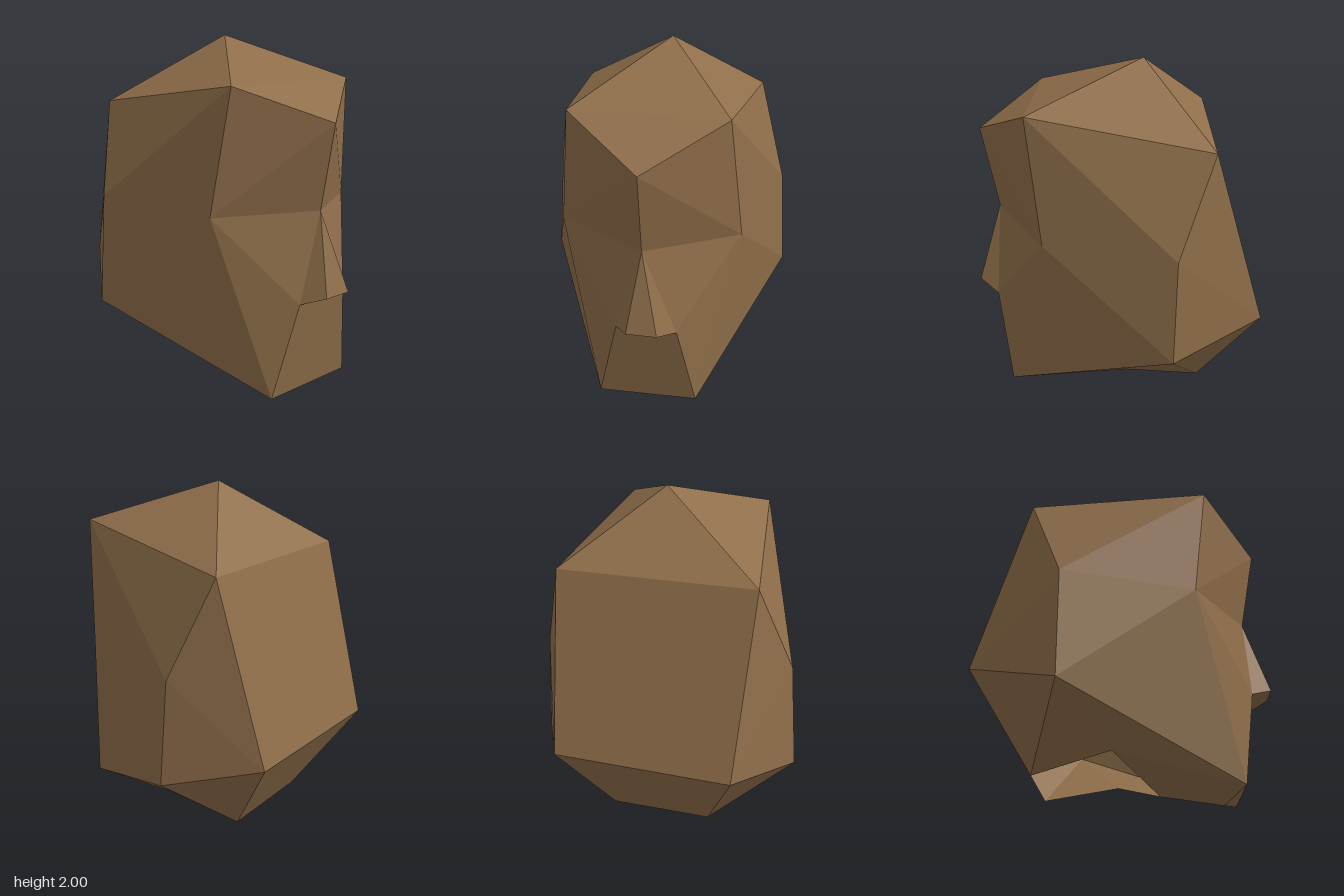
import * as THREE from 'three';

// Landmarks of the head. Paired points end in R (+x) or L (-x).
const points = {
  crown: [0.04, 2, -0.15],
  brow: [0.01, 1.58, 0.79],
  bridge: [0.01, 1.1, 0.7],
  chin: [0, 0, 0.53],
  throat: [-0.01, 0.05, 0.18],
};

function pair(name, right, left = [-right[0], right[1], right[2]]) {
  points[name + 'R'] = right;
  points[name + 'L'] = left;
}

pair('forehead', [0.43, 1.77, 0.47], [-0.42, 1.77, 0.47]);
pair('nape', [0.545, 1.62, -0.53], [-0.535, 1.62, -0.53]);
pair('temple', [0.71, 1.08, -0.34], [-0.71, 1.1, -0.34]);
pair('eye', [0.51, 1.07, 0.39], [-0.5, 1.08, 0.39]);
pair('noseTip', [0.11, 0.65, 0.83], [-0.06, 0.65, 0.83]);
pair('nostril', [0.2, 0.6, 0.71], [-0.14, 0.6, 0.71]);
pair('jaw', [0.755, 0.49, -0.33], [-0.76, 0.47, -0.33]);
pair('back', [0.51, 0.64, -0.825], [-0.48, 0.63, -0.83]);
pair('chinSide', [0.305, 0.06, 0.63], [-0.265, 0.05, 0.63]);
pair('neckSide', [0.4, 0.2, -0.07]);
pair('neckBack', [0.29, 0.1, -0.5]);

// A * marks a paired point, built once for each side.
const parts = {
  skull: [
    'crown forehead* nape*', 'forehead* nape* temple*', 'forehead* temple* eye*',
    'nape* temple* back*', 'temple* back* jaw*', 'temple* jaw* eye*',
    'crown foreheadR foreheadL', 'crown napeR napeL', 'napeR napeL backL backR',
  ],
  face: [
    'foreheadR foreheadL brow', 'forehead* eye* brow', 'brow eye* bridge',
    'eye* bridge nostril*', 'eye* nostril* chinSide*', 'eye* jaw* chinSide*',
    'nostrilR nostrilL chinSideL chinSideR',
  ],
  nose: [
    'bridge noseTipR noseTipL', 'bridge noseTip* nostril*',
    'noseTipR noseTipL nostrilL nostrilR',
  ],
  // The base leaves the neck open.
  base: [
    'chinSideR chinSideL chin', 'chinSide* chin throat', 'chinSide* throat neckSide*',
    'jaw* chinSide* neckSide*', 'jaw* neckSide* neckBack*', 'jaw* neckBack* back*',
    'backR backL neckBackL neckBackR',
  ],
};

const centre = new THREE.Vector3(0, 0.9, 0);

// Adds one triangle, turned so that it faces away from the head's centre.
function addTriangle(out, a, b, c) {
  const normal = b.clone().sub(a).cross(c.clone().sub(a));
  const middle = a.clone().add(b).add(c).divideScalar(3).sub(centre);
  const corners = normal.dot(middle) < 0 ? [a, c, b] : [a, b, c];
  for (const p of corners) out.push(p.x, p.y, p.z);
}

function facetedGeometry(faces) {
  const out = [];
  for (const face of faces) {
    const sides = face.includes('*') ? ['R', 'L'] : [''];
    for (const side of sides) {
      const corners = face.replaceAll('*', side).split(' ')
        .map((name) => new THREE.Vector3(...points[name]));
      for (let i = 1; i < corners.length - 1; i++) {
        addTriangle(out, corners[0], corners[i], corners[i + 1]);
      }
    }
  }
  const geometry = new THREE.BufferGeometry();
  geometry.setAttribute('position', new THREE.Float32BufferAttribute(out, 3));
  geometry.computeVertexNormals();
  return geometry;
}

export function createModel() {
  const skin = new THREE.MeshStandardMaterial({
    color: 0x8f6e4a, flatShading: true, side: THREE.DoubleSide,
  });
  skin.name = 'brown';

  const head = new THREE.Group();
  head.name = 'head';
  for (const [name, faces] of Object.entries(parts)) {
    const mesh = new THREE.Mesh(facetedGeometry(faces), skin);
    mesh.name = name;
    head.add(mesh);
  }
  return head;
}
